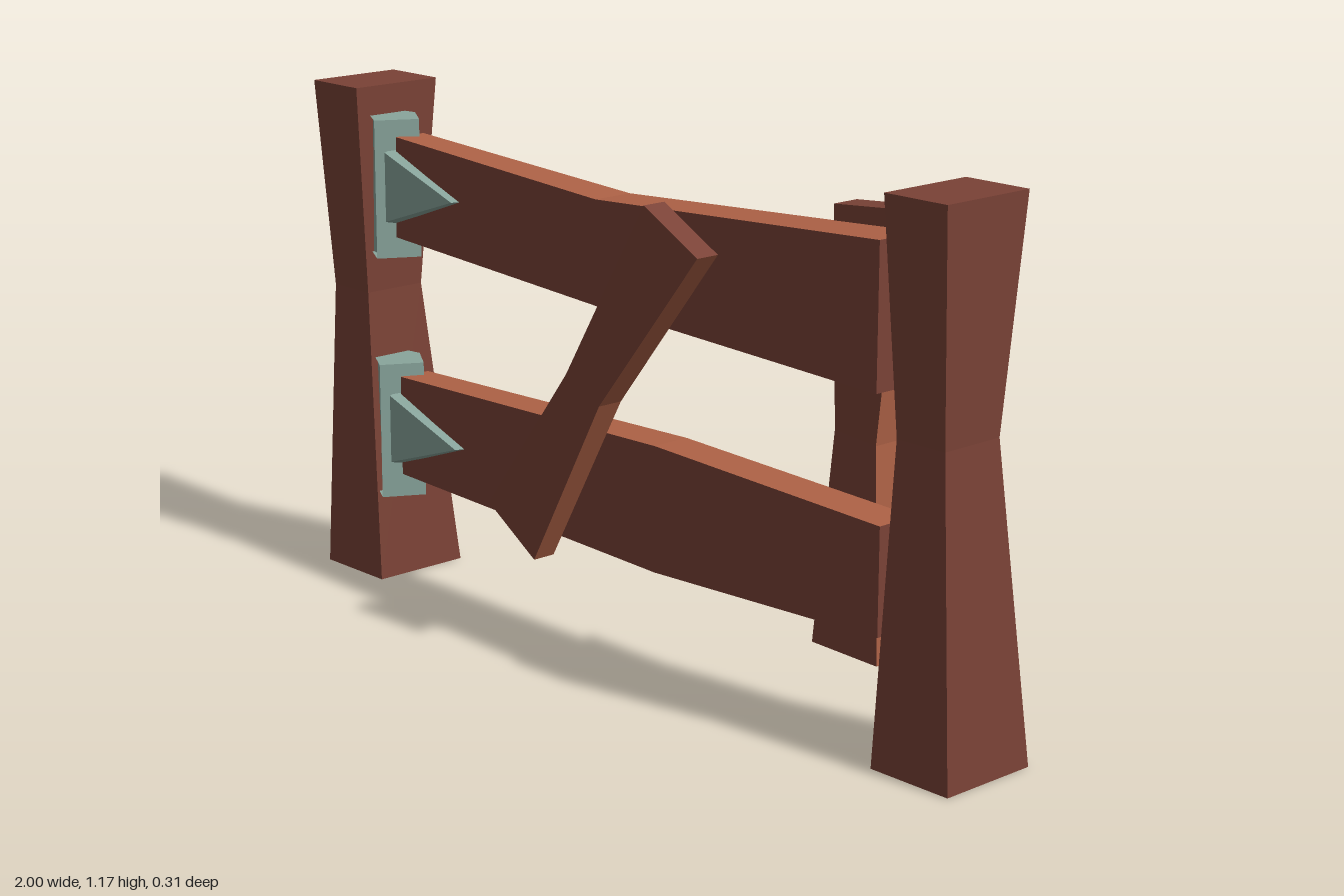
import * as THREE from 'three';

const mat = (name, color) => {
  const m = new THREE.MeshStandardMaterial({ color });
  m.name = name;
  return m;
};

// Joins matching rings of [x, y, z] points into a closed flat-shaded solid.
// sideMats gives a material index per side; the caps use index 0.
function loft(name, rings, mats, sideMats = []) {
  const pos = [], groups = [];
  const n = rings[0].length;
  const add = (index, ...pts) => {
    groups.push([pos.length / 3, pts.length, index]);
    pts.forEach((p) => pos.push(...p));
  };
  for (let k = 0; k < rings.length - 1; k++) {
    for (let i = 0; i < n; i++) {
      const j = (i + 1) % n;
      const a = rings[k][i], b = rings[k][j], c = rings[k + 1][j], d = rings[k + 1][i];
      add(sideMats[i] ?? 0, a, b, c, a, c, d);
    }
  }
  const first = rings[0], last = rings[rings.length - 1];
  for (let i = 1; i < n - 1; i++) {
    add(0, first[0], first[i + 1], first[i]);
    add(0, last[0], last[i], last[i + 1]);
  }
  const geo = new THREE.BufferGeometry();
  geo.setAttribute('position', new THREE.Float32BufferAttribute(pos, 3));
  groups.forEach((g) => geo.addGroup(...g));
  geo.computeVertexNormals();
  const mesh = new THREE.Mesh(geo, mats);
  mesh.name = name;
  return mesh;
}

export function createModel() {
  const model = new THREE.Group();
  model.name = 'woodenGate';
  const brown = mat('woodBrown', 0x7a4236);
  const light = mat('woodLightEdge', 0xae6246);
  const dark = mat('woodDarkEdge', 0x4a281e);
  const metal = mat('hingeMetal', 0x89a59c);

  // Posts, pinched in the middle: y, inner x, outer x, front z, back z
  const postRows = [
    [0, 0.795, 1.0, 0.083, -0.157],
    [0.69, 0.835, 0.96, 0.073, -0.083],
    [1.175, 0.818, 0.978, 0.106, -0.125],
  ];
  for (const [name, s] of [['rightPost', -1], ['leftPost', 1]]) {
    const rings = postRows.map(([y, xi, xo, f, b]) => {
      const x0 = Math.min(s * xi, s * xo), x1 = Math.max(s * xi, s * xo);
      return [[x0, y, f], [x1, y, f], [x1, y, b], [x0, y, b]];
    });
    model.add(loft(name, rings, [brown]));
  }

  // Boards: each row is dark-edge x, y, light-edge x, y, back z, front z
  const board = (name, rows) => {
    const rings = rows.map(([dx, dy, lx, ly, b, f]) =>
      [[dx, dy, f], [dx, dy, b], [lx, ly, b], [lx, ly, f]]);
    model.add(loft(name, rings, [brown, light, dark], [2, 0, 1, 0]));
  };
  board('upperRail', [
    [-0.74, 0.835, -0.735, 1.068, -0.02, 0.06],
    [-0.03, 0.802, -0.03, 1.032, -0.018, 0.08],
    [0.808, 0.78, 0.808, 1.082, -0.01, 0.104],
  ]);
  board('lowerRail', [
    [-0.735, 0.27, -0.735, 0.505, -0.02, 0.06],
    [0.15, 0.25, 0.15, 0.53, -0.018, 0.075],
    [0.808, 0.28, 0.808, 0.51, -0.012, 0.086],
  ]);
  board('diagonalBrace', [
    [0.205, 1.065, 0.363, 0.98, 0.1, 0.157],
    [-0.05, 0.66, 0.055, 0.61, 0.085, 0.147],
    [-0.333, 0.307, -0.18, 0.21, 0.074, 0.13],
  ]);
  board('rearBrace', [
    [0.577, 1.102, 0.758, 1.117, -0.075, -0.01],
    [0.587, 0.64, 0.7, 0.63, -0.075, -0.014],
    [0.533, 0.175, 0.715, 0.17, -0.075, -0.014],
  ]);

  // Hinges: an angled block with a pointed, bevelled strap
  const outline = [[-0.85, 0.05], [-0.815, 0.06], [-0.762, 0.1],
    [-0.712, 0.01], [-0.79, -0.04], [-0.85, -0.03]];
  for (const [name, y0, y1] of [['upperHinge', 0.787, 1.107], ['lowerHinge', 0.215, 0.535]]) {
    const hinge = new THREE.Group();
    hinge.name = name;
    hinge.add(loft('hingeBlock', [y0, y1].map((y) => outline.map(([x, z]) => [x, y, z])), [metal]));
    const c = (y0 + y1) / 2 + 0.006;
    const strap = (h, tip, z) => [[-0.748, c - h, z], [tip, c, z], [-0.748, c + h, z]];
    hinge.add(loft('hingeStrap', [strap(0.092, -0.49, 0.045), strap(0.08, -0.51, 0.083)], [metal]));
    model.add(hinge);
  }
  return model;
}
